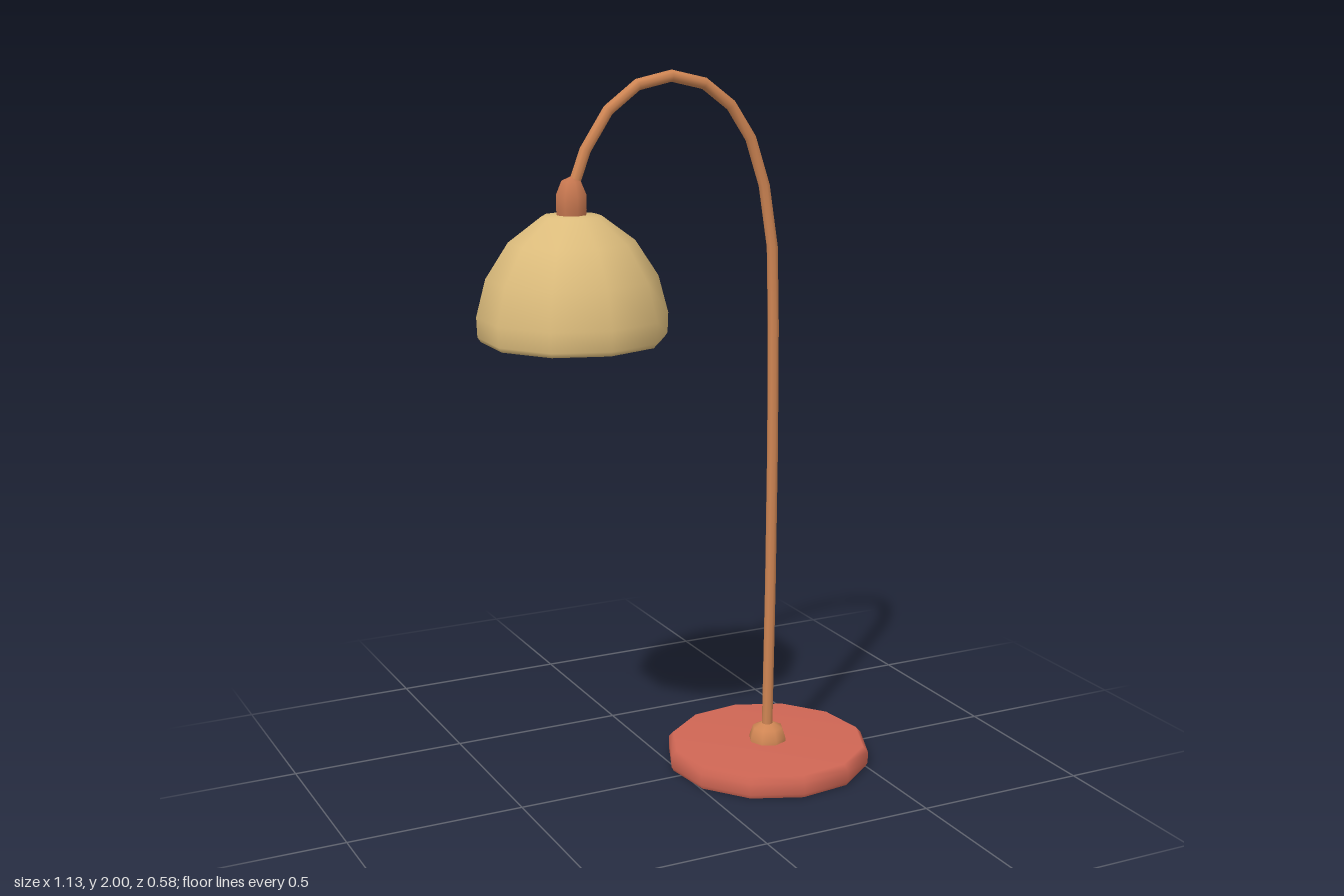
import * as THREE from 'three';

const STEM_X = 0.272;
const SHADE_X = -0.327;

function material(name, color, side = THREE.FrontSide) {
  const m = new THREE.MeshStandardMaterial({ color, side });
  m.name = name;
  return m;
}

const v2 = (pairs) => pairs.map(([r, y]) => new THREE.Vector2(r, y));

// Faceted turned part: profile runs from bottom to top along the outside
function turned(name, profile, sides, x, mat, phase = 0) {
  const mesh = new THREE.Mesh(new THREE.LatheGeometry(v2(profile), sides, phase), mat);
  mesh.name = name;
  mesh.position.x = x;
  return mesh;
}

// Tube whose rings sit exactly on the given points
function bentTube(name, points, radius, sides, mat) {
  const curve = new THREE.CatmullRomCurve3(points.map(([x, y]) => new THREE.Vector3(x, y, 0)));
  curve.getPointAt = curve.getPoint;
  curve.getTangentAt = curve.getTangent;
  const mesh = new THREE.Mesh(new THREE.TubeGeometry(curve, points.length - 1, radius, sides), mat);
  mesh.name = name;
  return mesh;
}

export function createModel() {
  const red = material('base red', 0xcf6654, THREE.DoubleSide);
  const copper = material('stem copper', 0xd08654);
  const gold = material('shade gold', 0xdcbc7c);
  const rust = material('socket rust', 0xc5764f);

  const lamp = new THREE.Group();
  lamp.name = 'deskLamp';

  // Base: twelve-sided dish, hollow underneath
  lamp.add(turned('base', [[0.289, 0], [0.295, 0.012], [0.295, 0.045], [0.28, 0.061], [0, 0.061]],
    12, STEM_X, red, 0.388));

  // Collar where the stem meets the base
  lamp.add(turned('collar', [[0.055, 0.058], [0.054, 0.072], [0.044, 0.1], [0.018, 0.112], [0, 0.112]],
    8, STEM_X, copper));

  // Stem rising straight, then arching over to the shade
  lamp.add(bentTube('stem', [
    [0.27, 0.08], [0.276, 0.54], [0.278, 0.95], [0.276, 1.29], [0.27, 1.51], [0.243, 1.68],
    [0.2, 1.81], [0.14, 1.9], [0.06, 1.96], [-0.037, 1.983], [-0.135, 1.963],
    [-0.22, 1.9], [-0.286, 1.8], [-0.32, 1.71],
  ], 0.016, 8, copper));

  // Socket between stem and shade
  lamp.add(turned('socket', [[0.04, 1.625], [0.043, 1.65], [0.043, 1.685], [0.027, 1.722], [0, 1.735]],
    8, SHADE_X, rust));

  // Shade: ten-sided dome with inner wall, rolled rim and outer wall
  lamp.add(turned('shade', [
    [0, 1.615], [0.07, 1.61], [0.152, 1.55], [0.21, 1.46], [0.236, 1.37], [0.232, 1.312],
    [0.243, 1.303], [0.252, 1.316], [0.254, 1.37], [0.228, 1.47], [0.167, 1.565],
    [0.078, 1.632], [0, 1.638],
  ], 10, SHADE_X, gold));

  return lamp;
}
